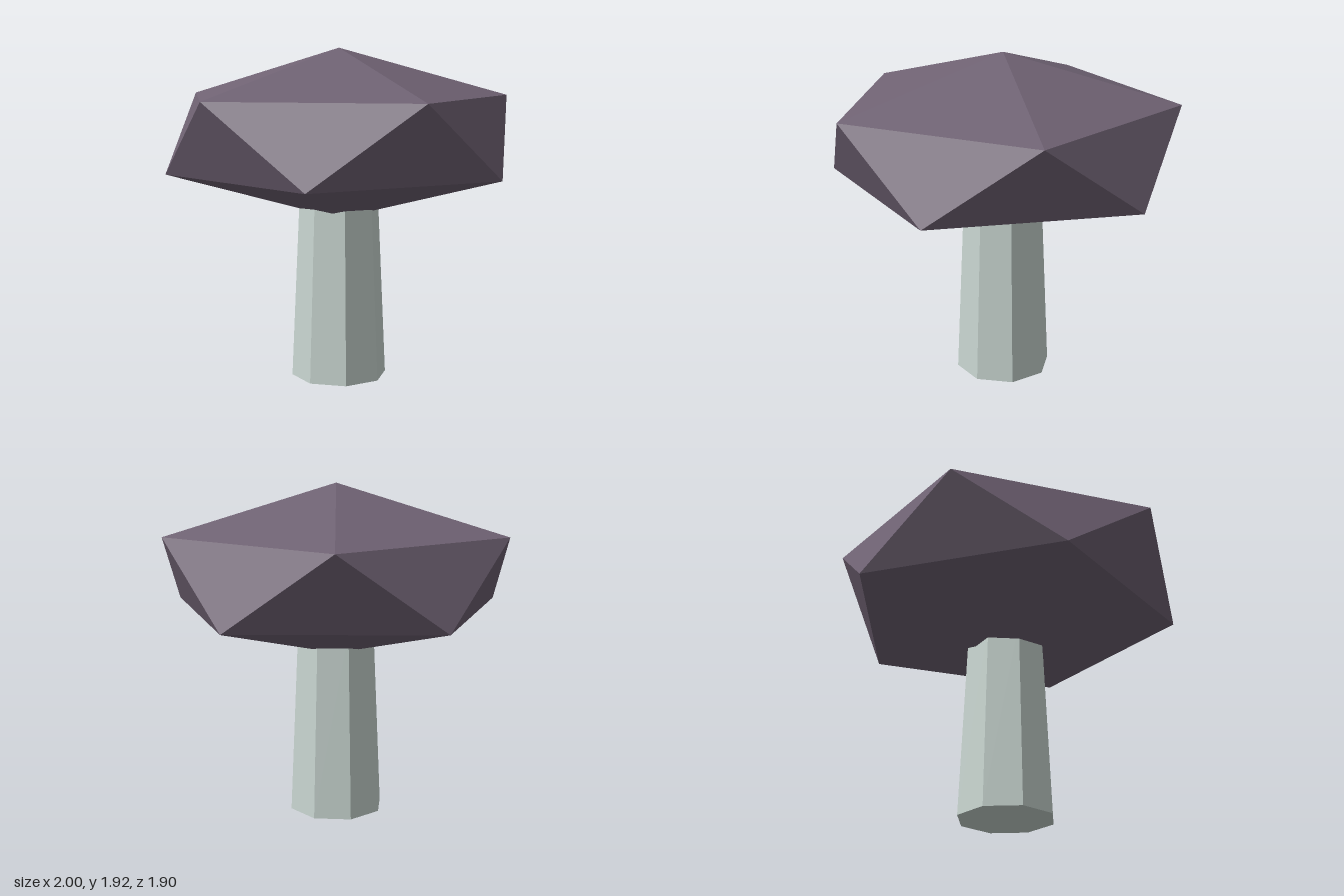
import * as THREE from 'three';

// Five points of a horizontal ring, starting at the given angle
function ring(y, start) {
  return Array.from({ length: 5 }, (_, i) => {
    const a = start + (i * Math.PI * 2) / 5;
    return new THREE.Vector3(Math.cos(a), y, -Math.sin(a));
  });
}

// Squashed twenty-sided cap: two poles and two staggered rings
function capGeometry() {
  const top = new THREE.Vector3(0, 1.925, 0);
  const bottom = new THREE.Vector3(0, 0.935, 0);
  const upper = ring(1.65, 0);
  const lower = ring(1.21, Math.PI / 5);
  const points = [];
  for (let i = 0; i < 5; i++) {
    const j = (i + 1) % 5;
    points.push(top, upper[i], upper[j]);
    points.push(upper[i], lower[i], upper[j]);
    points.push(lower[i], lower[j], upper[j]);
    points.push(bottom, lower[j], lower[i]);
  }
  const geometry = new THREE.BufferGeometry().setFromPoints(points);
  geometry.computeVertexNormals();
  return geometry;
}

export function createModel() {
  const model = new THREE.Group();
  model.name = 'mushroom';

  const capMaterial = new THREE.MeshStandardMaterial({ color: 0x6f6273, flatShading: true });
  capMaterial.name = 'dusky purple';
  const stemMaterial = new THREE.MeshStandardMaterial({ color: 0xc8d5d0, flatShading: true });
  stemMaterial.name = 'pale grey green';

  // Cap
  const cap = new THREE.Mesh(capGeometry(), capMaterial);
  cap.name = 'cap';
  model.add(cap);

  // Tapered eight-sided stem, its top sunk into the cap
  const height = 1.1;
  const stem = new THREE.Mesh(new THREE.CylinderGeometry(0.23, 0.28, height, 8), stemMaterial);
  stem.name = 'stem';
  stem.position.y = height / 2;
  model.add(stem);

  return model;
}
